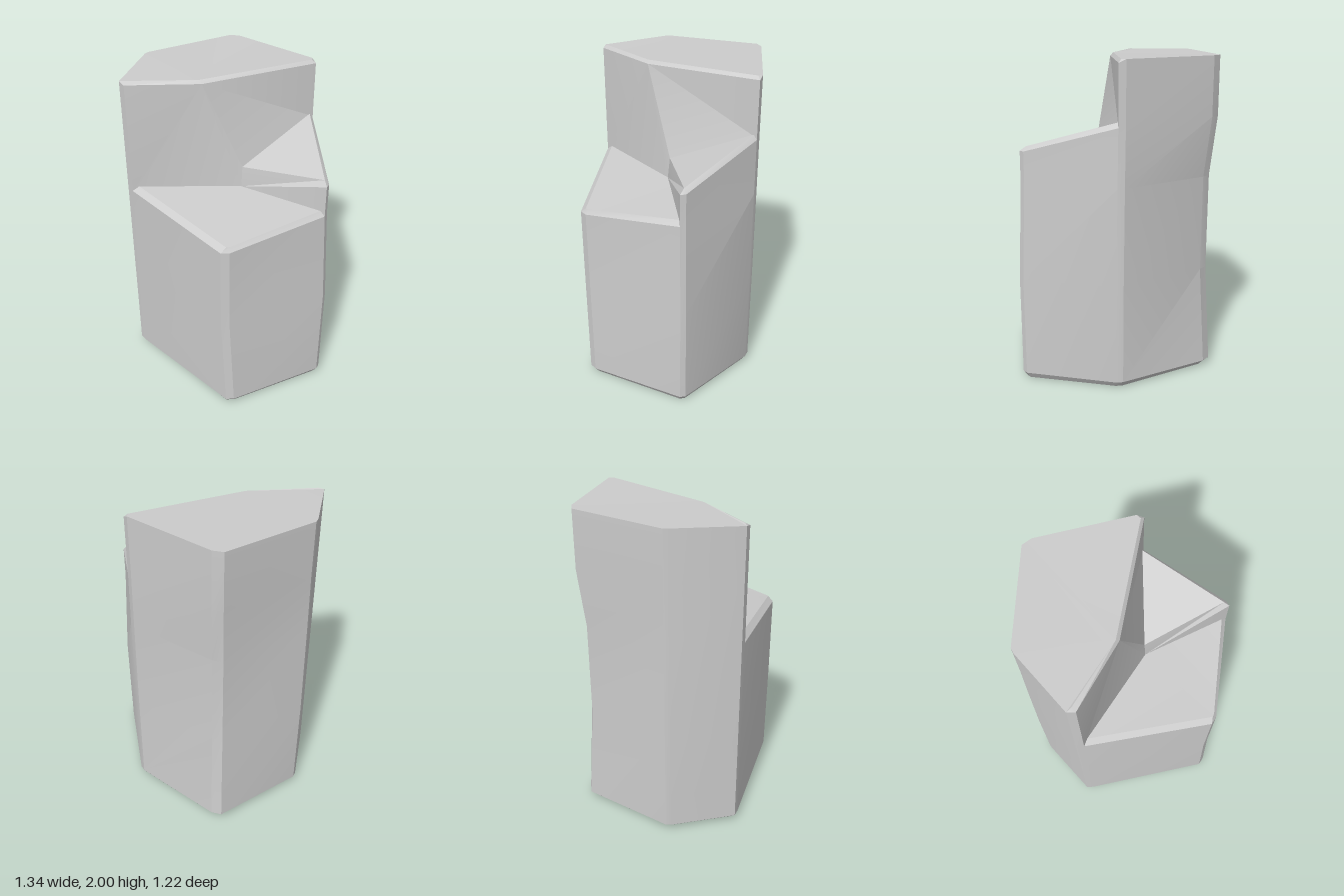
import * as THREE from 'three';
import { toCreasedNormals } from 'three/addons/utils/BufferGeometryUtils.js';

const LEVELS = [0.04, 0.67, 1.27, 1.64];

// Chamfered plan corners, counter-clockwise from above: two points each,
// plus the [dx, dz] drift of the corner at each level
const CORNERS = {
  E: { pts: [[-0.57, 0.35], [-0.525, 0.37]], drift: [[0, 0], [0, 0], [0, 0], [0, 0]] },
  D: { pts: [[0.24, 0.605], [0.285, 0.58]], drift: [[0.01, 0], [-0.02, 0], [-0.015, 0], [-0.015, 0]] },
  C: { pts: [[0.662, 0.075], [0.662, 0.04]], drift: [[0, 0], [0.005, 0], [-0.025, 0], [-0.025, 0]] },
  B: { pts: [[0.335, -0.435], [0.3, -0.46]], drift: [[0, 0], [0, 0], [-0.005, 0], [-0.01, 0]] },
  A: { pts: [[-0.28, -0.61], [-0.345, -0.6]], drift: [[0, 0], [0.015, 0.04], [0.015, 0.04], [0, 0]] },
  F: { pts: [[-0.665, -0.09], [-0.665, -0.055]], drift: [[0, 0], [-0.005, 0], [0, 0], [0.005, 0]] },
};

// Point on a vertical corner edge such as 'E1' at height y
function at(name, y) {
  const { pts, drift } = CORNERS[name[0]];
  const [x, z] = pts[name[1] - 1];
  let i = 0;
  while (i < 2 && y > LEVELS[i + 1]) i++;
  const t = THREE.MathUtils.clamp((y - LEVELS[i]) / (LEVELS[i + 1] - LEVELS[i]), 0, 1);
  const mix = k => THREE.MathUtils.lerp(drift[i][k], drift[i + 1][k], t);
  return [x + mix(0), y, z + mix(1)];
}

// Fan of triangles around the first point of each polygon
function surface(name, polygons) {
  const pos = [];
  const v = p => new THREE.Vector3(...p);
  for (const poly of polygons) {
    for (let i = 1; i < poly.length - 1; i++) {
      const tri = new THREE.Triangle(v(poly[0]), v(poly[i]), v(poly[i + 1]));
      if (tri.getArea() > 1e-7) pos.push(...poly[0], ...poly[i], ...poly[i + 1]);
    }
  }
  const geo = new THREE.BufferGeometry();
  geo.setAttribute('position', new THREE.Float32BufferAttribute(pos, 3));
  const mesh = new THREE.Mesh(
    toCreasedNormals(geo, 0.35),
    new THREE.MeshStandardMaterial({ color: 0xcccccc, roughness: 0.9 })
  );
  mesh.name = name;
  return mesh;
}

// Quads joining two rows of points
const band = (low, high) =>
  low.slice(1).map((p, i) => [low[i], p, high[i + 1], high[i]]);

export function createModel() {
  const group = new THREE.Group();
  group.name = 'steppedRock';

  // Outer walls: [start edge, end edge, top at start, top at end]
  const walls = [
    ['E1', 'E2', 1.98, 1.97], ['E2', 'D1', 1.27, 1.19], ['D1', 'D2', 1.19, 1.19],
    ['D2', 'C1', 1.19, 1.26], ['C1', 'C2', 1.46, 1.46], ['C2', 'B1', 1.46, 1.62],
    ['B1', 'B2', 1.98, 2], ['B2', 'A1', 2, 2], ['A1', 'A2', 2, 2],
    ['A2', 'F1', 2, 1.995], ['F1', 'F2', 1.995, 1.995], ['F2', 'E1', 1.995, 1.98],
  ];
  const sides = [];
  for (const [a, b, topA, topB] of walls) {
    const stops = [...LEVELS, 2];
    const edge = (n, top) => stops.map(y => at(n, Math.min(y, top)));
    sides.push(...band(edge(a, topA), edge(b, topB)).map(q => [q[0], q[3], q[2], q[1]]));
  }
  group.add(surface('outerWalls', sides));

  // Chamfered underside
  const rim = walls.map(w => at(w[0], 0.04));
  const foot = rim.map(([x, , z]) => [x * 0.955, 0.007 - x * 0.01, z * 0.955]);
  const closed = list => [...list, list[0]];
  group.add(surface('base', [...band(closed(foot), closed(rim)), [...foot].reverse()]));

  // Low front step with its bevelled edge
  const M = [0.07, 1.3, 0.05];
  const lowRim = [at('E2', 1.27), at('D1', 1.19), at('D2', 1.19), at('C1', 1.26)];
  const lowCap = [[-0.49, 1.3, 0.345], [0.245, 1.22, 0.575], [0.262, 1.22, 0.562], [0.61, 1.29, 0.07]];
  group.add(surface('frontStep', [...band(lowRim, lowCap), [M, ...lowCap]]));

  // Middle ledge, its riser and bevel
  const Mt = [0.07, 1.43, 0.037], Ct = [0.612, 1.487, 0.048], Bt = [0.31, 1.65, -0.42];
  group.add(surface('middleLedge', [
    [Mt, Ct, Bt],
    [M, lowCap[3], lowRim[3], at('C1', 1.46), Ct, Mt],
    [at('C1', 1.46), at('C2', 1.46), Ct],
    [at('C2', 1.46), at('B1', 1.62), Bt, Ct],
  ]));

  // Broken face behind the two steps
  const Mw = [-0.145, 1.965, 0.135];
  const faceTop = [at('E2', 1.97), Mw, at('B1', 1.98)];
  group.add(surface('brokenFace', [
    [Mw, faceTop[0], lowRim[0], lowCap[0], M, Mt],
    [Mw, Mt, Bt, at('B1', 1.62), faceTop[2]],
  ]));

  // Summit with a softened front edge
  const crest = [[-0.535, 1.985, 0.342], [-0.165, 1.985, 0.13], [0.3, 2, -0.43]];
  group.add(surface('summit', [
    ...band(faceTop, crest),
    [at('E1', 1.98), faceTop[0], crest[0]],
    [faceTop[2], at('B2', 2), crest[2]],
    [crest[1], crest[2], at('B2', 2), at('A1', 2), at('A2', 2),
      at('F1', 1.995), at('F2', 1.995), at('E1', 1.98), crest[0]],
  ]));

  return group;
}
